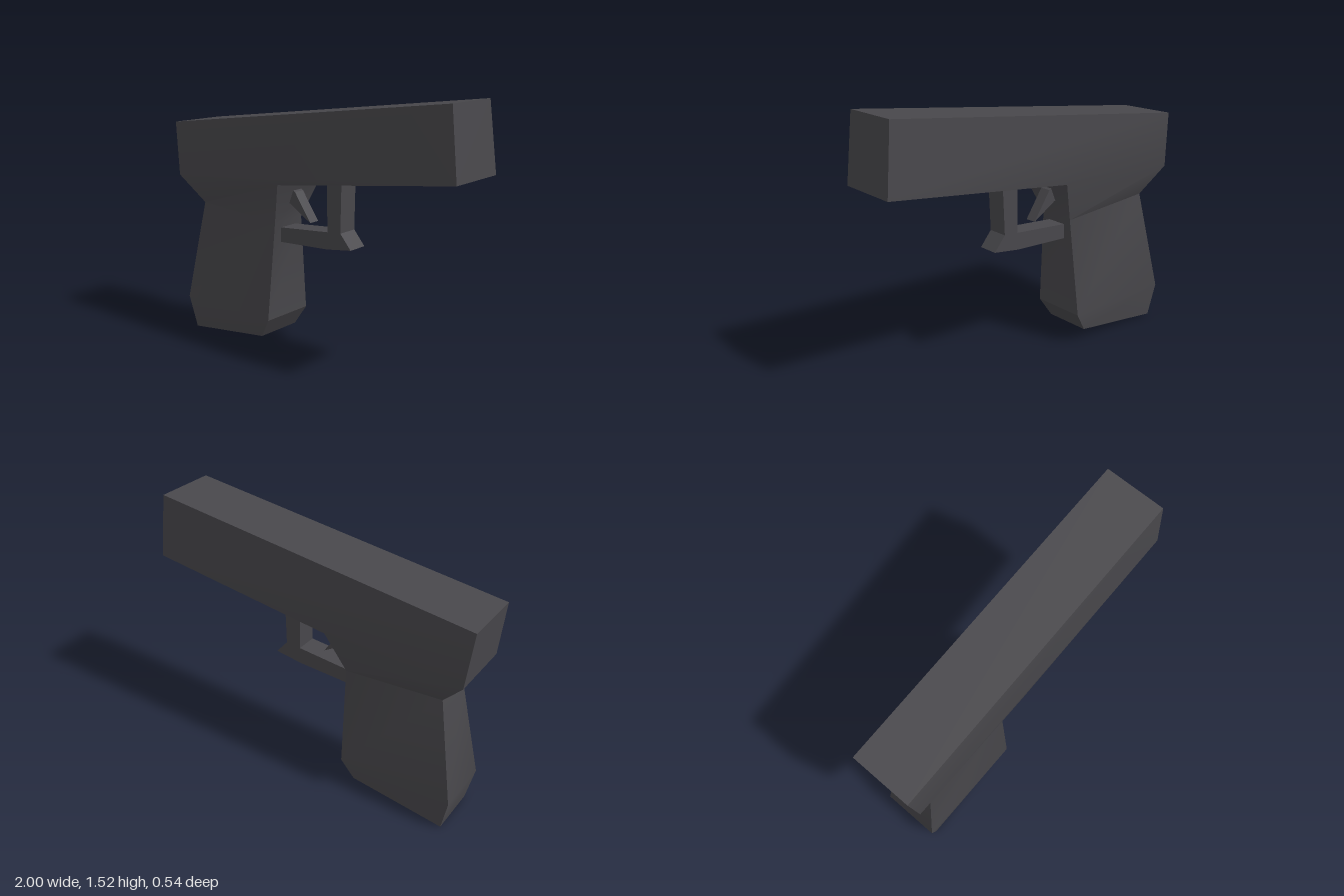
import * as THREE from 'three';
import { toCreasedNormals } from 'three/addons/utils/BufferGeometryUtils.js';

const gunmetal = new THREE.MeshStandardMaterial({ color: 0x48474b });
gunmetal.name = 'gunmetal';

// Loft through four-cornered rings: [backX, backY, frontX, frontY, halfWidth], bottom to top
function loft(rows) {
  const rings = rows.map(([bx, by, fx, fy, h]) => [[bx, by, h], [fx, fy, h], [fx, fy, -h], [bx, by, -h]]);
  const pos = [];
  const quad = (a, b, c, d) => pos.push(...a, ...b, ...c, ...a, ...c, ...d);
  for (let r = 0; r < rings.length - 1; r++) {
    const lo = rings[r], hi = rings[r + 1];
    for (let i = 0; i < 4; i++) {
      const j = (i + 1) % 4;
      quad(lo[i], lo[j], hi[j], hi[i]);
    }
  }
  quad(...rings[0].slice().reverse());
  quad(...rings[rings.length - 1]);
  const geo = new THREE.BufferGeometry();
  geo.setAttribute('position', new THREE.Float32BufferAttribute(pos, 3));
  geo.computeVertexNormals();
  return toCreasedNormals(geo, 0.5);
}

// Flat side outline extruded evenly about the centre plane
function plate(points, width) {
  const shape = new THREE.Shape(points.map(([x, y]) => new THREE.Vector2(x, y)));
  return new THREE.ExtrudeGeometry(shape, { depth: width, bevelEnabled: false }).translate(0, 0, -width / 2);
}

export function createModel() {
  const model = new THREE.Group();
  model.name = 'toyPistol';
  const add = (name, geo) => {
    const mesh = new THREE.Mesh(geo, gunmetal);
    mesh.name = name;
    model.add(mesh);
  };

  // Grip flaring through the waist into the slide
  add('body', loft([
    [-0.90, 0.106, -0.327, 0.109, 0.148],
    [-0.918, 0.308, -0.241, 0.218, 0.17],
    [-0.732, 0.905, -0.16, 0.794, 0.114],
    [-0.847, 1.086, -0.04, 1.025, 0.19],
    [-0.847, 1.086, 1.10, 1.027, 0.19],
    [-0.842, 1.408, 1.10, 1.409, 0.178],
  ]));

  // Bar and front post with a pointed toe
  add('triggerGuard', plate([
    [-0.19, 0.674], [0.167, 0.647], [0.334, 0.649], [0.273, 0.741],
    [0.314, 1.035], [0.212, 1.035], [0.182, 0.745], [-0.19, 0.76],
  ], 0.125));

  // Pointed trigger
  add('trigger', plate([[-0.14, 0.89], [-0.102, 0.896], [0.038, 0.786], [-0.055, 0.962], [-0.08, 0.98]], 0.07));

  // Tilt the whole toy muzzle-up and slightly turned
  const forward = new THREE.Vector3(0.9907, 0.108, -0.0823).normalize();
  const side = new THREE.Vector3(0.084, -0.012, 0.996);
  const up = new THREE.Vector3().crossVectors(side, forward).normalize();
  side.crossVectors(forward, up);
  model.quaternion.setFromRotationMatrix(new THREE.Matrix4().makeBasis(forward, up, side));
  model.position.copy(side).multiplyScalar(-0.033);

  const root = new THREE.Group();
  root.name = 'model';
  root.add(model);
  return root;
}
